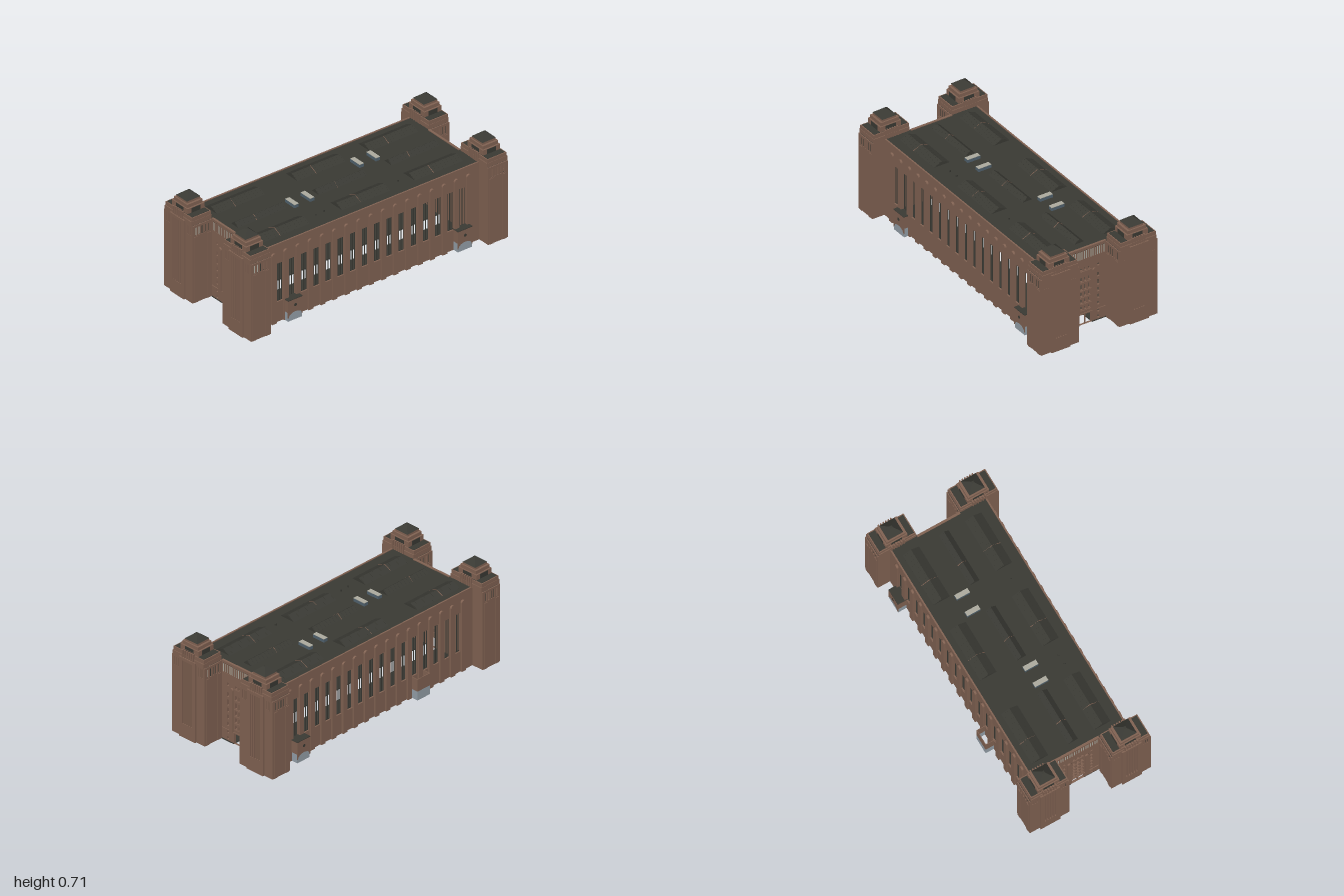
import * as THREE from 'three';

const mat = (name, color) => {
  const m = new THREE.MeshStandardMaterial({ color });
  m.name = name;
  return m;
};

export function createModel() {
  const brick = mat('brick', 0x826353);
  const dark = mat('dark roofing', 0x3a3a34);
  const glass = mat('porch glass', 0x95a0a9);
  const steel = mat('blue vent', 0x52636f);
  const pale = mat('pale metal', 0xaeaca0);
  const model = new THREE.Group();

  const add = (parent, name, geo, m, x = 0, y = 0, z = 0, ry = 0) => {
    const mesh = new THREE.Mesh(geo, m);
    mesh.name = name;
    mesh.position.set(x, y, z);
    mesh.rotation.y = ry;
    parent.add(mesh);
    return mesh;
  };
  // box given by its min and max corners
  const box = (parent, name, m, x0, x1, y0, y1, z0, z1) =>
    add(parent, name, new THREE.BoxGeometry(x1 - x0, y1 - y0, z1 - z0), m,
      (x0 + x1) / 2, (y0 + y1) / 2, (z0 + z1) / 2);
  // upright panel with rectangular openings [x centre, width, y0, y1]
  const panel = (hw, y0, y1, holes, depth) => {
    const s = new THREE.Shape();
    s.moveTo(-hw, y0).lineTo(hw, y0).lineTo(hw, y1).lineTo(-hw, y1).closePath();
    for (const [c, w, a, b] of holes) {
      const h = new THREE.Path();
      h.moveTo(c - w / 2, a).lineTo(c - w / 2, b).lineTo(c + w / 2, b).lineTo(c + w / 2, a).closePath();
      s.holes.push(h);
    }
    return new THREE.ExtrudeGeometry(s, { depth, bevelEnabled: false });
  };
  // buttress with a rounded head
  const buttress = (w, y0, y1, depth) => {
    const r = w / 2, s = new THREE.Shape();
    s.moveTo(-r, y0).lineTo(r, y0).lineTo(r, y1 - r).absarc(0, y1 - r, r, 0, Math.PI, false).closePath();
    return new THREE.ExtrudeGeometry(s, { depth, bevelEnabled: false, curveSegments: 8 });
  };
  // gabled prism running along x
  const gable = (len, hw, h) => {
    const s = new THREE.Shape();
    s.moveTo(-hw, 0).lineTo(hw, 0).lineTo(0, h).closePath();
    return new THREE.ExtrudeGeometry(s, { depth: len, bevelEnabled: false })
      .translate(0, 0, -len / 2).rotateY(Math.PI / 2);
  };

  // long walls: buttresses, with a dark three-light window frame in each bay
  const pitch = 1.5 / 16, bayHoles = [], lightHoles = [];
  for (let i = 0; i < 16; i++) {
    const c = -0.75 + pitch * (i + 0.5);
    bayHoles.push([c, 0.0565, 0.145, 0.415]);
    for (const k of [-1, 0, 1]) lightHoles.push([c + k * 0.0195, 0.0125, 0.149, 0.411]);
  }
  const longWall = panel(0.84, 0.005, 0.552, bayHoles, 0.01);
  const longFrame = panel(0.82, 0.01, 0.53, lightHoles, 0.004);
  const longButtress = buttress(0.035, 0.005, 0.5, 0.015);
  for (const [name, ry] of [['frontWall', 0], ['backWall', Math.PI]]) {
    const g = new THREE.Group();
    g.name = name;
    g.rotation.y = ry;
    add(g, 'wallPanel', longWall, brick, 0, 0, 0.327);
    add(g, 'windowFrames', longFrame, dark, 0, 0, 0.3225);
    for (let i = 0; i <= 16; i++) add(g, 'buttress', longButtress, brick, -0.75 + pitch * i, 0, 0.335);
    model.add(g);
  }

  // end walls: window grid, grille band and open gateway
  const rows = [[0.015, 0.036], [0.058, 0.076], [0.11, 0.135], [0.156, 0.187],
    [0.205, 0.236], [0.252, 0.293], [0.312, 0.343], [0.39, 0.41]];
  const endHoles = [[0, 0.085, 0.0051, 0.075]];
  rows.forEach(([a, b], i) => {
    for (const c of i < 2 ? [-0.095, 0.095] : [-0.095, -0.028, 0, 0.028, 0.095]) endHoles.push([c, 0.015, a, b]);
  });
  for (let i = 0; i < 18; i++) endHoles.push([(i - 8.5) * 0.0158, 0.0085, 0.472, 0.535]);
  const endWall = panel(0.15, 0.005, 0.552, endHoles, 0.015);
  const endButtress = buttress(0.028, 0.085, 0.387, 0.01);
  for (const [name, ry] of [['rightEndWall', Math.PI / 2], ['leftEndWall', -Math.PI / 2]]) {
    const g = new THREE.Group();
    g.name = name;
    g.rotation.y = ry;
    add(g, 'wallPanel', endWall, brick, 0, 0, 0.825);
    box(g, 'grillePane', pale, -0.142, 0.142, 0.468, 0.538, 0.828, 0.837);
    for (const c of [-0.0615, 0.0615]) add(g, 'buttress', endButtress, brick, c, 0, 0.84);
    for (const [a] of rows.slice(2)) box(g, 'sill', brick, -0.04, 0.04, a - 0.008, a - 0.003, 0.84, 0.844);
    box(g, 'gateLintel', brick, -0.142, 0.142, 0.08, 0.086, 0.84, 0.845);
    box(g, 'gatePost', brick, -0.003, 0.003, 0.003, 0.076, 0.828, 0.836);
    model.add(g);
  }

  // floors either side of the central passage, and the roof
  for (const s of [-1, 1])
    box(model, 'floor', dark, -0.84, 0.84, 0, 0.008, s > 0 ? 0.046 : -0.33, s > 0 ? 0.33 : -0.046);
  box(model, 'roof', dark, -0.838, 0.838, 0.53, 0.547, -0.332, 0.332);

  // roof skylights with ribs and a brick divider
  for (const x of [-0.595, 0.025, 0.585])
    for (const [z, hw] of [[-0.23, 0.057], [0, 0.034], [0.205, 0.057]]) {
      add(model, 'skylight', gable(0.37, hw, 0.026), dark, x, 0.547, z);
      const rib = gable(0.004, hw + 0.001, 0.0275);
      for (let i = 0; i < 14; i++) add(model, 'skylightRib', rib, dark, x + (i - 6.5) * 0.0275, 0.547, z);
      add(model, 'skylightDivider', gable(0.004, hw + 0.001, 0.0275), brick, x - 0.04, 0.547, z);
    }
  // roof vents
  for (const [x, z] of [[0.245, -0.105], [0.37, -0.105], [-0.355, 0.02], [-0.235, 0.02]]) {
    box(model, 'roofVent', steel, x - 0.016, x + 0.016, 0.546, 0.568, z - 0.046, z + 0.046);
    box(model, 'ventCap', pale, x - 0.016, x + 0.016, 0.568, 0.571, z - 0.046, z + 0.046);
  }
  for (const [x, z] of [[-0.32, 0.208], [-0.255, 0.205], [0.315, 0.205]])
    add(model, 'roofPipe', new THREE.CylinderGeometry(0.006, 0.006, 0.014, 10), dark, x, 0.552, z);

  // porches on the long walls: glazed below, brick box with a dark top above
  const arch = new THREE.Shape();
  arch.moveTo(0.056, 0.03).lineTo(0.056, 0.07).lineTo(-0.056, 0.07).lineTo(-0.056, 0.03)
    .absellipse(0, 0.03, 0.052, 0.034, Math.PI, 0, true).closePath();
  const archGeo = new THREE.ExtrudeGeometry(arch, { depth: 0.004, bevelEnabled: false });
  for (const [x, s, reach] of [[-0.615, 1, 0.383], [0.692, 1, 0.383], [0.692, -1, 0.4]]) {
    const g = new THREE.Group();
    g.name = 'porch';
    if (s < 0) g.rotation.y = Math.PI;
    const c = x * s;
    box(g, 'porchGlass', glass, c - 0.054, c + 0.054, 0.006, 0.068, 0.33, reach - 0.004);
    add(g, 'porchArch', archGeo, brick, c, 0, reach - 0.004);
    box(g, 'porchBox', brick, c - 0.056, c + 0.056, 0.068, 0.15, 0.33, reach);
    box(g, 'porchTop', dark, c - 0.056, c + 0.056, 0.15, 0.154, 0.33, reach);
    add(g, 'porchLamp', new THREE.CylinderGeometry(0.01, 0.01, 0.004, 12).rotateX(Math.PI / 2), dark, c, 0.11, reach);
    model.add(g);
  }
  // open-topped porch at the back: glazed below, thin brick walls above
  const open = new THREE.Group();
  open.name = 'openPorch';
  for (const [m, a, b] of [[glass, 0.006, 0.068], [brick, 0.068, 0.152]]) {
    for (const x of [-0.41, -0.304]) box(open, 'openPorchSide', m, x, x + 0.004, a, b, -0.395, -0.33);
    box(open, 'openPorchFront', m, -0.41, -0.3, a, b, -0.395, -0.391);
  }
  model.add(open);

  // corner towers, each built with its outer face towards +x
  const slots = [-2, -1, 0, 1, 2].map(i => [i * 0.0175, 0.009, 0.1, 0.54]);
  const flankSlots = [-1, 1].flatMap(s => [0.085, 0.1, 0.115].map(c => [s * c, 0.005, 0.472, 0.535]));
  const sideSlots = [-2, -1, 0, 1, 2].map(i => [i * 0.023, 0.012, 0.472, 0.53]);
  const outerWall = panel(0.138, 0.005, 0.545, [...slots, ...flankSlots], 0.006);
  const zWall = panel(0.0755, 0.005, 0.545, sideSlots, 0.006);
  const zLining = panel(0.07, 0.1, 0.544, sideSlots, 0.002);
  const bay = panel(0.068, 0.005, 0.56, slots, 0.012);
  const Q = Math.PI / 2;
  // hipped cap with a small flat top
  const hip = new THREE.CylinderGeometry(0.008 * Math.SQRT2, 0.053 * Math.SQRT2, 0.037, 4, 1).toNonIndexed();
  hip.rotateY(Math.PI / 4);
  hip.computeVertexNormals();

  const tower = () => {
    const g = new THREE.Group();
    g.name = 'cornerTower';
    add(g, 'outerWall', outerWall, brick, 0.07, 0, 0, Q);
    add(g, 'slottedBay', bay, brick, 0.076, 0, 0, Q);
    box(g, 'innerWall', brick, -0.076, -0.07, 0.005, 0.545, -0.138, 0.138);
    box(g, 'innerLining', dark, -0.07, -0.068, 0.1, 0.544, -0.07, 0.07);
    box(g, 'innerPane', pale, -0.068, -0.064, 0.1, 0.544, -0.042, 0.042);
    for (const ry of [0, Math.PI]) {
      const side = new THREE.Group();
      side.name = 'towerSide';
      side.rotation.y = ry;
      add(side, 'sideWall', zWall, brick, 0, 0, 0.132);
      add(side, 'sideLining', zLining, dark, 0, 0, 0.129);
      // shallow corner strips
      for (const x of [-0.05, 0.05]) box(side, 'cornerStrip', brick, x - 0.014, x + 0.014, 0.005, 0.465, 0.138, 0.141);
      g.add(side);
    }
    // stepped stages: half x, half z, bottom, top
    for (const [hx, hz, a, b] of [[0.078, 0.13, 0.545, 0.575], [0.073, 0.128, 0.575, 0.6], [0.066, 0.076, 0.6, 0.637],
      [0.059, 0.066, 0.637, 0.66], [0.05, 0.051, 0.66, 0.676]])
      box(g, 'towerStage', brick, -hx, hx, a, b, -hz, hz);
    box(g, 'ledgeRoofing', dark, -0.066, 0.066, 0.6, 0.602, -0.121, 0.121);
    for (const s of [-1, 1]) {
      const xs = s > 0 ? [0.06, 0.0675] : [-0.0675, -0.06];
      const zs = s > 0 ? [0.07, 0.0775] : [-0.0775, -0.07];
      box(g, 'louvre', dark, ...xs, 0.602, 0.634, -0.036, 0.036);
      box(g, 'louvre', dark, -0.034, 0.034, 0.602, 0.634, ...zs);
    }
    // fins carrying the bay upward
    for (let i = 0; i < 6; i++) {
      const c = (i - 2.5) * 0.0175;
      box(g, 'bayFin', brick, 0.06, 0.084, 0.55, 0.612, c - 0.004, c + 0.004);
      box(g, 'bayFin', brick, -0.084, -0.06, 0.55, 0.612, c - 0.004, c + 0.004);
    }
    add(g, 'hippedCap', hip, dark, 0, 0.6935, 0);
    return g;
  };
  for (const sx of [-1, 1])
    for (const sz of [-1, 1]) {
      const t = tower();
      t.position.set(sx * 0.912, 0, sz * 0.285);
      if (sx < 0) t.rotation.y = Math.PI;
      model.add(t);
    }
  return model;
}
